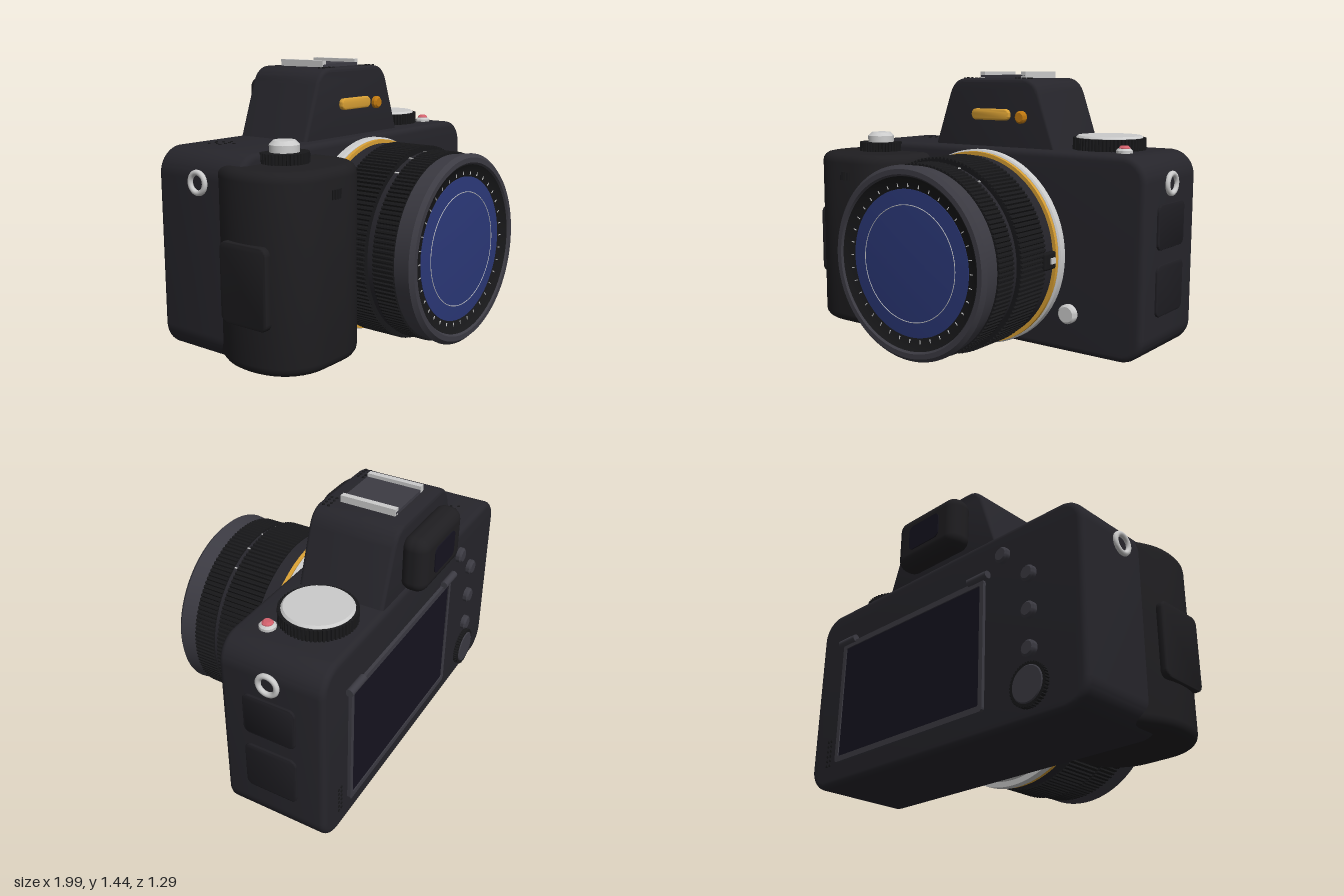
import * as THREE from 'three';
import { toCreasedNormals } from 'three/addons/utils/BufferGeometryUtils.js';
import { RoundedBoxGeometry } from 'three/addons/geometries/RoundedBoxGeometry.js';

const mat = (color) => new THREE.MeshStandardMaterial({ color });
const silver = mat(0xcccccc), bodyMat = mat(0x26252b), gripMat = mat(0x1f1e21), black = mat(0x18181a);
const darkGrey = mat(0x3c3b43), doorMat = mat(0x1f1e23), gold = mat(0xd9a034), amber = mat(0xc27a10);
const glass = mat(0x2b3878), screenMat = mat(0x15131f), red = mat(0xd2606c);
const LX = 0.025, LY = 0.523; // lens axis

export function createModel() {
  const root = new THREE.Group();

  const add = (name, geo, material, x = 0, y = 0, z = 0, parent = root) => {
    const m = new THREE.Mesh(geo, material);
    m.name = name;
    m.position.set(x, y, z);
    parent.add(m);
    return m;
  };
  const group = (name, x = 0, y = 0, z = 0) => {
    const g = new THREE.Group();
    g.name = name;
    g.position.set(x, y, z);
    root.add(g);
    return g;
  };

  // Extrusion of a shape with total depth d, bevel kept inside the outline
  const extrude = (shape, d, b = 0, curveSegments = 10) => {
    const g = new THREE.ExtrudeGeometry(shape, {
      depth: d - 2 * b, bevelEnabled: b > 0, bevelThickness: b, bevelSize: b,
      bevelOffset: -b, bevelSegments: 4, curveSegments,
    });
    g.translate(0, 0, b);
    return toCreasedNormals(g, 0.6);
  };
  const roundRect = (w, h, r) => {
    const s = new THREE.Shape(), x = w / 2, y = h / 2;
    s.absarc(x - r, y - r, r, 0, Math.PI / 2);
    s.absarc(-x + r, y - r, r, Math.PI / 2, Math.PI);
    s.absarc(-x + r, -y + r, r, Math.PI, Math.PI * 1.5);
    s.absarc(x - r, -y + r, r, Math.PI * 1.5, Math.PI * 2);
    s.closePath();
    return s;
  };
  const slab = (w, h, d, r, b = 0) => extrude(roundRect(w, h, r), d, b);
  // Toothed ring extruded along z from 0 to d
  const knurl = (r, d, teeth, depth) => {
    const pts = [];
    for (let i = 0; i < teeth; i++) {
      [[0, r - depth], [0.2, r], [0.6, r], [0.8, r - depth]].forEach(([f, q]) => {
        const a = ((i + f) / teeth) * Math.PI * 2;
        pts.push(new THREE.Vector2(q * Math.cos(a), q * Math.sin(a)));
      });
    }
    return new THREE.ExtrudeGeometry(new THREE.Shape(pts), { depth: d, bevelEnabled: false });
  };
  // Turned part: [radius, height] pairs around y
  const turned = (pts, seg = 48) =>
    toCreasedNormals(new THREE.LatheGeometry(pts.map((p) => new THREE.Vector2(...p)), seg), 0.5);
  const button = (r, h, c = 0.01, seg = 32) => turned([[0, 0], [r, 0], [r, h - c], [r - c, h], [0, h]], seg);

  // Body
  add('body', slab(1.905, 1.02, 0.55, 0.13, 0.03), bodyMat, 0.0225, 0.54, -0.54);

  // Hand grip, outline seen from above and extruded upward
  const gs = new THREE.Shape();
  gs.moveTo(-0.345, 0.2);
  gs.lineTo(-0.345, -0.08);
  gs.bezierCurveTo(-0.345, -0.25, -0.45, -0.36, -0.6, -0.36);
  gs.lineTo(-0.73, -0.36);
  gs.bezierCurveTo(-0.88, -0.36, -0.985, -0.25, -0.985, -0.08);
  gs.bezierCurveTo(-0.985, 0.03, -0.95, 0.08, -0.925, 0.13);
  gs.lineTo(-0.88, 0.2);
  gs.closePath();
  add('grip', extrude(gs, 0.95, 0.05).rotateX(-Math.PI / 2), gripMat, 0, 0.05, 0);
  add('gripSidePad', slab(0.29, 0.39, 0.04, 0.04, 0.01).rotateY(-Math.PI / 2), gripMat, -0.96, 0.475, 0.085);
  add('frontDial', knurl(0.065, 0.045, 24, 0.008).rotateX(-Math.PI / 2), black, -0.665, 0.858, 0.308);

  // Viewfinder hump
  const hs = new THREE.Shape();
  hs.moveTo(-0.4, 0);
  hs.lineTo(0.4, 0);
  hs.lineTo(0.296, 0.3);
  hs.quadraticCurveTo(0.265, 0.38, 0.19, 0.38);
  hs.lineTo(-0.19, 0.38);
  hs.quadraticCurveTo(-0.265, 0.38, -0.296, 0.3);
  hs.closePath();
  add('viewfinderHump', extrude(hs, 0.455, 0.02), bodyMat, 0.02, 1.03, -0.525);
  add('eyecup', new RoundedBoxGeometry(0.44, 0.29, 0.14, 5, 0.06), gripMat, 0.02, 1.205, -0.575);
  add('eyepieceWindow', slab(0.22, 0.14, 0.01, 0.03), screenMat, 0.02, 1.205, -0.65);
  add('frontBar', slab(0.245, 0.06, 0.03, 0.029, 0.008), gold, 0.0175, 1.22, -0.075);
  add('lamp', button(0.033, 0.035).rotateX(Math.PI / 2), amber, 0.21, 1.21, -0.078);

  // Accessory shoe
  const shoe = group('accessoryShoe', 0.02, 1.405, -0.305);
  add('shoePlate', new THREE.BoxGeometry(0.29, 0.02, 0.29), darkGrey, 0, 0.012, 0, shoe);
  for (const s of [-1, 1]) add('shoeRail', new THREE.BoxGeometry(0.03, 0.04, 0.29), silver, s * 0.135, 0.02, 0, shoe);

  // Microphone dots on the hump and speaker dots on the top plate
  const dots = group('soundHoles');
  const dot = new THREE.CylinderGeometry(0.007, 0.007, 0.006, 10);
  for (const s of [-1, 1])
    for (let i = 0; i < 4; i++)
      for (let j = 0; j < 2; j++) add('microphoneHole', dot, black, 0.02 + s * (0.13 + i * 0.027), 1.411, -0.13 + j * 0.027, dots);
  for (let i = 0; i < 10; i++) {
    const a = (i / 10) * Math.PI * 2, r = i % 2 ? 0.035 : 0.065;
    add('speakerHole', dot, black, -0.65 + r * Math.cos(a), 1.051, -0.38 + r * Math.sin(a), dots);
  }

  // Top controls
  const dial = group('modeDial', 0.605, 1.04, -0.295);
  add('dialKnurl', knurl(0.188, 0.07, 60, 0.008).rotateX(-Math.PI / 2), black, 0, 0, 0, dial);
  add('dialCap', button(0.172, 0.03), silver, 0, 0.052, 0, dial);
  const rec = group('recordButton', 0.78, 1.045, -0.135);
  add('recordCollar', button(0.041, 0.028), silver, 0, 0, 0, rec);
  add('recordCap', button(0.028, 0.02), red, 0, 0.022, 0, rec);
  const shutter = group('shutterRelease', -0.675, 0.99, 0.06);
  add('shutterCollar', knurl(0.12, 0.06, 40, 0.008).rotateX(-Math.PI / 2), black, 0, 0, 0, shutter);
  add('shutterButton', button(0.073, 0.115, 0.02), silver, 0, 0, 0, shutter);

  // Lens, turned around z
  const lens = group('lens', LX, LY, 0);
  const ring = (name, material, pts, seg = 96) => add(name, turned(pts, seg).rotateX(Math.PI / 2), material, 0, 0, 0, lens);
  ring('lensMount', silver, [[0.49, -0.01], [0.49, 0.022], [0.519, 0.022], [0.519, 0.06], [0.51, 0.066], [0.46, 0.066]]);
  ring('goldRing', gold, [[0.46, 0.07], [0.51, 0.07], [0.51, 0.09], [0.46, 0.09]]);
  ring('lensBarrel', bodyMat, [[0.46, 0.06], [0.5, 0.066], [0.5, 0.07], [0.49, 0.09], [0.495, 0.165], [0.472, 0.17], [0.472, 0.53]]);
  add('zoomRing', knurl(0.502, 0.21, 130, 0.01), black, 0, 0, 0.165, lens);
  add('focusRing', knurl(0.484, 0.12, 130, 0.008), black, 0, 0, 0.41, lens);
  ring('frontRing', darkGrey, [[0.42, 0.53], [0.472, 0.53], [0.484, 0.62], [0.465, 0.64], [0.44, 0.64], [0.43, 0.625]]);
  ring('lensBezel', black, [[0.43, 0.632], [0.4, 0.615], [0.36, 0.606]]);
  ring('frontGlass', glass, [[0.367, 0.6], [0.367, 0.61], [0.28, 0.616], [0.14, 0.621], [0, 0.623]]);
  add('glassCircle', new THREE.TorusGeometry(0.29, 0.002, 6, 96), silver, 0, 0, 0.6155, lens);
  for (let i = 0; i < 36; i++) {
    const a = (i / 36) * Math.PI * 2;
    add('bezelTick', new THREE.BoxGeometry(0.018, 0.004, 0.004), silver, 0.386 * Math.cos(a), 0.386 * Math.sin(a), 0.613, lens).rotation.z = a;
  }
  for (let i = -2; i <= 2; i++) {
    const a = Math.PI / 2 + i * 0.284;
    add('scaleMark', new THREE.BoxGeometry(0.01, 0.007, 0.03), silver, 0.472 * Math.cos(a), 0.472 * Math.sin(a), 0.392, lens).rotation.z = a;
  }
  add('lensSwitchBase', new RoundedBoxGeometry(0.04, 0.09, 0.1, 2, 0.012), black, 0.492, 0, 0.14, lens);
  add('lensSwitch', new THREE.BoxGeometry(0.02, 0.03, 0.036), silver, 0.51, 0, 0.125, lens);
  add('lensReleaseButton', button(0.05, 0.04).rotateX(Math.PI / 2), silver, 0.565, 0.235, 0.005);

  // Side fittings
  for (const [h, y] of [[0.225, 0.697], [0.26, 0.38]])
    add('portDoor', slab(0.28, h, 0.03, 0.035, 0.006).rotateY(Math.PI / 2), doorMat, 0.957, y, -0.257);
  for (const x of [0.98, -0.935])
    add('strapRing', new THREE.TorusGeometry(0.049, 0.014, 12, 36).rotateY(Math.PI / 2), silver, x, 0.903, -0.257);

  // Rear screen with frame and hinges
  const frame = roundRect(1.085, 0.68, 0.02);
  frame.holes.push(new THREE.Path(roundRect(1.035, 0.62, 0.01).getPoints().reverse()));
  add('screenFrame', extrude(frame, 0.025), darkGrey, 0.2125, 0.49, -0.557);
  add('rearScreen', new THREE.BoxGeometry(1.04, 0.625, 0.02), screenMat, 0.2125, 0.49, -0.541);
  for (const x of [0.715, -0.295])
    add('screenHinge', new THREE.CylinderGeometry(0.02, 0.02, 0.13, 16).rotateZ(Math.PI / 2), darkGrey, x, 0.84, -0.557);

  // Rear controls
  for (const [x, y] of [[-0.45, 0.91], [-0.615, 0.747], [-0.615, 0.56], [-0.615, 0.368]])
    add('rearButton', button(0.041, 0.035).rotateX(-Math.PI / 2), darkGrey, x, y, -0.535);
  add('rearDial', knurl(0.107, 0.03, 40, 0.006), black, -0.615, 0.195, -0.565);
  add('rearDialCap', button(0.095, 0.035).rotateX(-Math.PI / 2), darkGrey, -0.615, 0.195, -0.535);
  for (let i = 0; i < 6; i++)
    for (let j = 0; j < 2; j++)
      add('rearSpeakerHole', dot, black, 0.815 + j * 0.025, 0.15 + i * 0.027, -0.541, dots).rotation.x = Math.PI / 2;

  return root;
}
